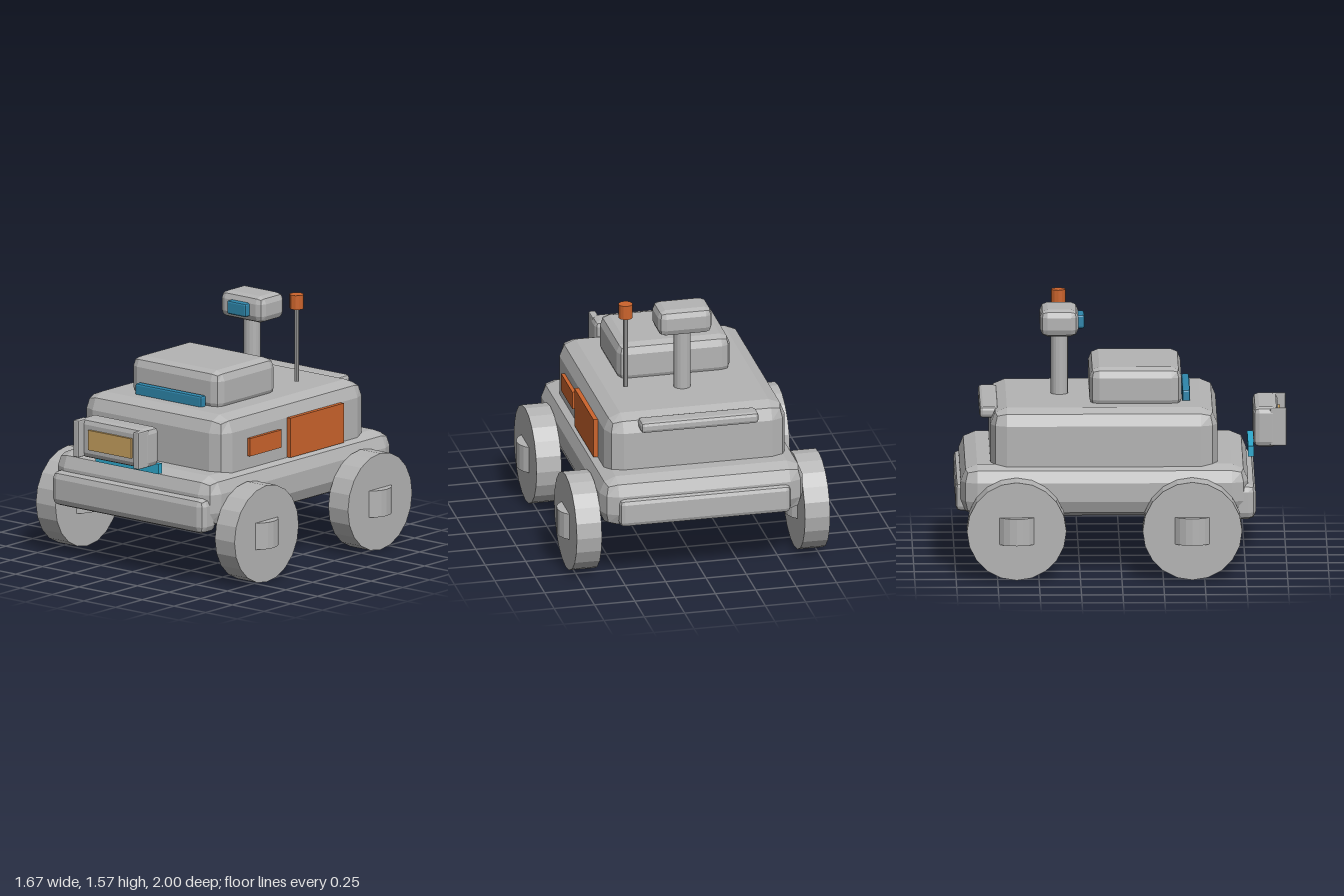
import * as THREE from 'three';
import { RoundedBoxGeometry } from 'three/addons/geometries/RoundedBoxGeometry.js';

const material = (name, color) => {
  const m = new THREE.MeshStandardMaterial({ color, flatShading: true });
  m.name = name;
  return m;
};

export function createModel() {
  const grey = material('bodyGrey', 0xb4b4b4);
  const orange = material('signalOrange', 0xcc642c);
  const amber = material('lampAmber', 0xc9a260);
  const blue = material('glassBlue', 0x2e86ab);
  const cyan = material('stripCyan', 0x2faacf);
  const rover = new THREE.Group();
  rover.name = 'rover';

  const add = (name, geometry, mat, x, y, z) => {
    const mesh = new THREE.Mesh(geometry, mat);
    mesh.name = name;
    mesh.position.set(x, y, z);
    rover.add(mesh);
    return mesh;
  };
  // Box given by its extents, with two-facet bevels of radius r
  const box = (name, mat, [x0, x1], [y0, y1], [z0, z1], r = 0) => {
    const size = [x1 - x0, y1 - y0, z1 - z0];
    const geometry = r > 0
      ? new RoundedBoxGeometry(...size, 1, r)
      : new THREE.BoxGeometry(...size);
    return add(name, geometry, mat, (x0 + x1) / 2, (y0 + y1) / 2, (z0 + z1) / 2);
  };
  // Upright cylinder from y0 to y1
  const post = (name, mat, r, y0, y1, x, z, sides) =>
    add(name, new THREE.CylinderGeometry(r, r, y1 - y0, sides), mat, x, (y0 + y1) / 2, z);

  // Body
  box('chassis', grey, [-0.63, 0.63], [0.35, 0.665], [-0.97, 0.765], 0.1);
  box('upperHull', grey, [-0.56, 0.56], [0.55, 1.0], [-0.79, 0.58], 0.1);
  box('equipmentBox', grey, [-0.35, 0.35], [0.96, 1.215], [-0.19, 0.365], 0.06);
  box('boxVisor', blue, [-0.262, 0.262], [0.99, 1.067], [0.37, 0.418], 0.012);
  box('frontBumper', grey, [-0.6, 0.6], [0.33, 0.545], [0.66, 0.81], 0.045);
  box('rearBumper', grey, [-0.53, 0.53], [0.375, 0.55], [-1.0, -0.9], 0.03);
  box('rearSpoiler', grey, [-0.365, 0.365], [0.915, 0.985], [-0.855, -0.74], 0.022);

  // Front lamp housing with side guards
  box('lampHousing', grey, [-0.26, 0.26], [0.71, 0.955], [0.8, 0.95], 0.035);
  for (const s of [-1, 1]) {
    box('lampGuard', grey, [s * 0.237 - 0.022, s * 0.237 + 0.022], [0.72, 0.95], [0.9, 1.0], 0.008);
  }
  box('lampLens', amber, [-0.168, 0.168], [0.77, 0.893], [0.94, 0.965]);
  box('lampStrip', cyan, [-0.248, 0.248], [0.655, 0.717], [0.768, 0.802]);

  // Side panels, left side only
  box('largeSidePanel', orange, [0.55, 0.587], [0.655, 0.9], [-0.53, -0.03]);
  box('smallSidePanel', orange, [0.55, 0.582], [0.732, 0.842], [0.045, 0.34]);

  // Camera mast
  post('mast', grey, 0.052, 0.98, 1.42, 0, -0.368, 16);
  box('cameraHead', grey, [-0.167, 0.167], [1.37, 1.535], [-0.485, -0.255], 0.045);
  box('cameraEye', blue, [-0.075, 0.075], [1.408, 1.492], [-0.275, -0.217], 0.012);

  // Antenna
  post('antennaRod', grey, 0.015, 1.03, 1.49, 0.35, -0.37, 10);
  post('antennaCap', orange, 0.043, 1.482, 1.57, 0.35, -0.37, 12);

  // Wheels with upright drum hubs
  for (const s of [-1, 1]) {
    for (const z of [0.425, -0.635]) {
      add('wheel', new THREE.CylinderGeometry(0.3, 0.3, 0.155, 20), grey, s * 0.707, 0.3, z)
        .rotation.z = Math.PI / 2;
      post('wheelHub', grey, 0.13, 0.22, 0.385, s * 0.707, z, 20);
    }
  }
  return rover;
}
